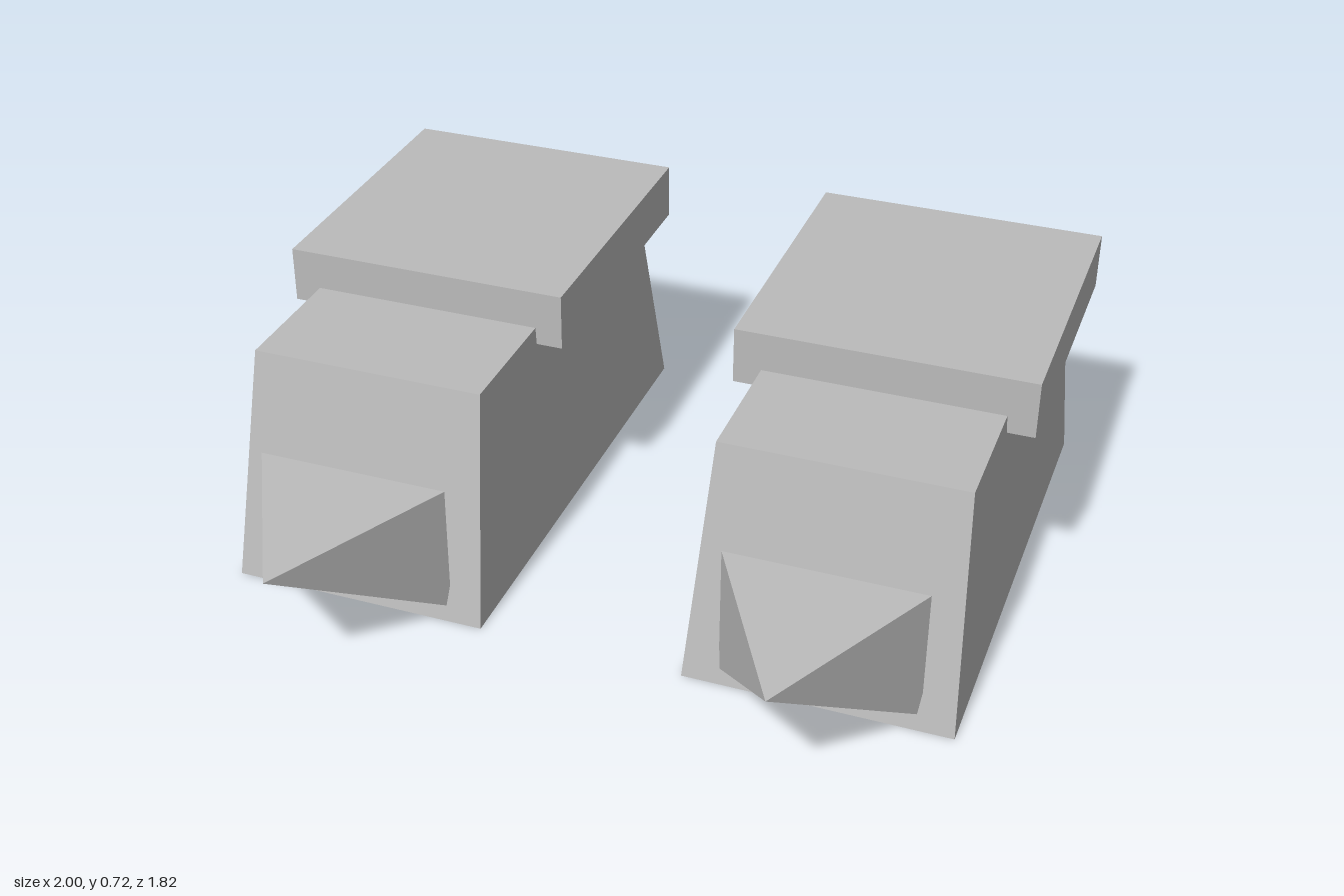
import * as THREE from 'three';

const grey = new THREE.MeshStandardMaterial({ color: 0xbbbbbb });
grey.name = 'grey';

// Box between two y levels whose bottom and top rectangles differ: [halfWidth, zBack, zFront]
function taperedBox(y0, y1, bottom, top) {
  const geo = new THREE.BoxGeometry(2, 1, 1).toNonIndexed();
  const p = geo.attributes.position;
  for (let i = 0; i < p.count; i++) {
    const up = p.getY(i) > 0;
    const [half, back, front] = up ? top : bottom;
    p.setXYZ(i, p.getX(i) * half, up ? y1 : y0, p.getZ(i) > 0 ? front : back);
  }
  geo.computeVertexNormals();
  return geo;
}

// Pyramid lying forward: rectangular base facing back, pointed tip at the front
function toeSpike() {
  const a = [-0.255, 0.033, 0.45], b = [0.255, 0.033, 0.45];
  const c = [0.255, 0.387, 0.45], d = [-0.255, 0.387, 0.45];
  const tip = [0, 0.36, 0.91];
  const faces = [a, b, tip, b, c, tip, c, d, tip, d, a, tip, a, c, b, a, d, c];
  const geo = new THREE.BufferGeometry();
  geo.setAttribute('position', new THREE.Float32BufferAttribute(faces.flat(), 3));
  geo.computeVertexNormals();
  return geo;
}

export function createModel() {
  const model = new THREE.Group();
  model.name = 'pairOfBoots';
  const parts = {
    bootBody: taperedBox(0, 0.615, [0.345, -0.91, 0.472], [0.311, -0.772, 0.337]),
    ankleCuff: taperedBox(0.568, 0.718, [0.384, -0.832, -0.014], [0.384, -0.832, -0.014]),
    toeSpike: toeSpike(),
  };

  // One boot on each side
  for (const [name, side] of [['leftBoot', 1], ['rightBoot', -1]]) {
    const boot = new THREE.Group();
    boot.name = name;
    boot.position.x = side * 0.616;
    for (const [part, geo] of Object.entries(parts)) {
      const mesh = new THREE.Mesh(geo, grey);
      mesh.name = part;
      boot.add(mesh);
    }
    model.add(boot);
  }
  return model;
}
